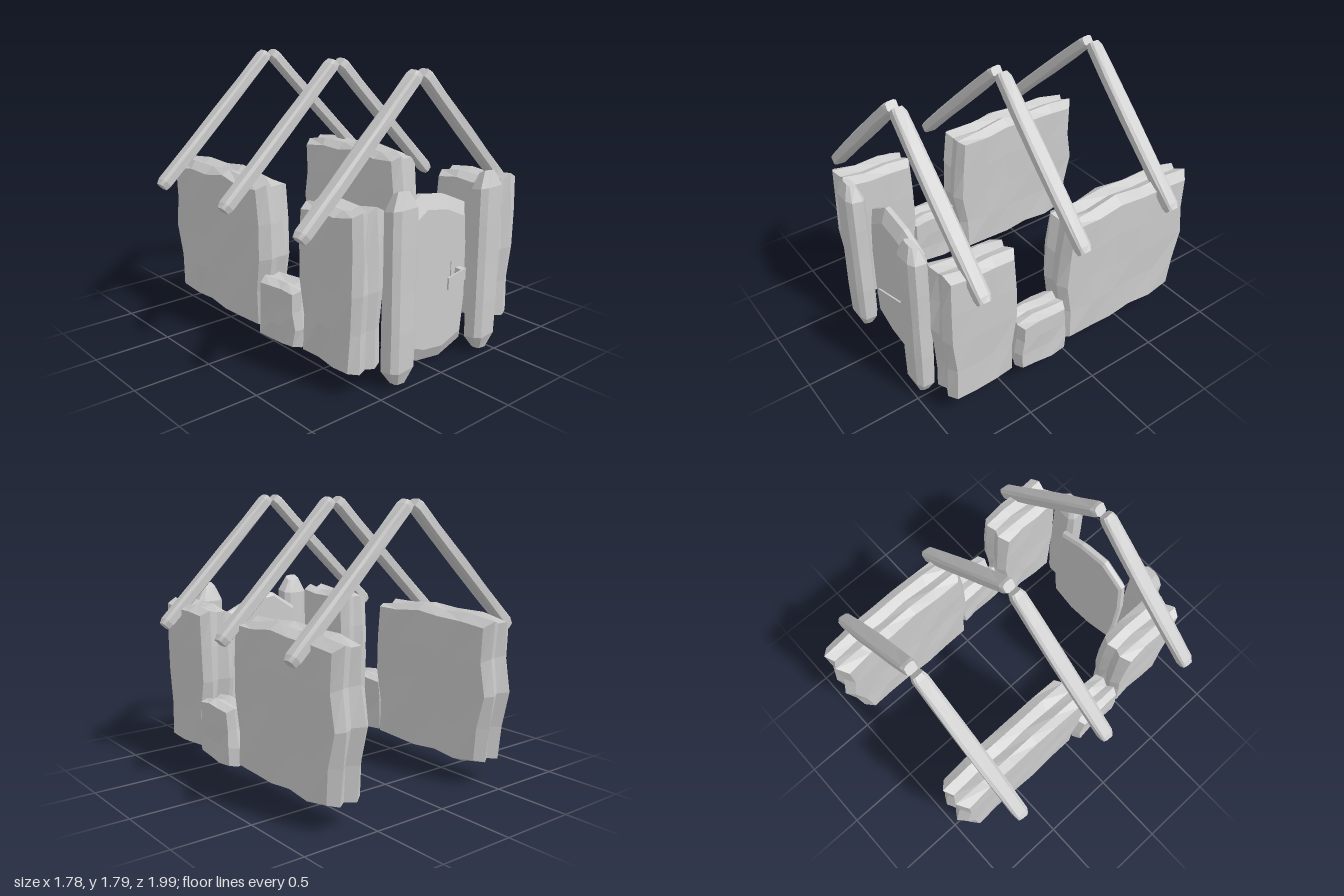
import * as THREE from 'three';

const material = new THREE.MeshStandardMaterial({ color: 0xcccccc, flatShading: true });

// Small repeatable noise in -1..1
const noise = (a, b, c) => {
  const s = Math.sin(a * 12.99 + b * 78.23 + c * 37.72) * 43758.5453;
  return (s - Math.floor(s)) * 2 - 1;
};

function add(parent, name, geometry) {
  const mesh = new THREE.Mesh(geometry, material);
  mesh.name = name;
  parent.add(mesh);
  return mesh;
}

// Skin closed rings (counter-clockwise seen from the far end), with fan caps
function loft(rings) {
  const n = rings[0].length, pos = [], index = [];
  rings.forEach(r => r.forEach(p => pos.push(...p)));
  for (let i = 0; i < rings.length - 1; i++)
    for (let j = 0; j < n; j++) {
      const a = i * n + j, b = i * n + (j + 1) % n;
      index.push(a, b, b + n, a, b + n, a + n);
    }
  [0, rings.length - 1].forEach((i, end) => {
    const centre = pos.length / 3;
    pos.push(...[0, 1, 2].map(k => rings[i].reduce((s, p) => s + p[k], 0) / n));
    for (let j = 0; j < n; j++) {
      const a = i * n + j, b = i * n + (j + 1) % n;
      index.push(centre, end ? a : b, end ? b : a);
    }
  });
  const g = new THREE.BufferGeometry();
  g.setAttribute('position', new THREE.Float32BufferAttribute(pos, 3));
  g.setIndex(index);
  g.computeVertexNormals();
  return g;
}

// Rough slab: side outline from four edges, with ridges running round the rim
function roughSlab({ width, front, back, bottom, top, inset }) {
  const ny = front.length - 1, nz = top.length - 1, ridge = [0, 0.95, 0.35, 0.85, 0];
  const g = new THREE.BoxGeometry(1, 1, 1, 4, ny, nz);
  const p = g.attributes.position;
  for (let i = 0; i < p.count; i++) {
    const u = Math.round((p.getX(i) + 0.5) * 4);
    const v = Math.round((p.getY(i) + 0.5) * ny);
    const t = Math.round((p.getZ(i) + 0.5) * nz);
    const pull = k => inset * (1 - THREE.MathUtils.clamp(ridge[u] + 0.3 * noise(u, v, t + k), 0, 1));
    const y = THREE.MathUtils.lerp(bottom[t] + pull(1) * 0.5, top[t] - pull(2), v / ny);
    const z = THREE.MathUtils.lerp(back[v] + pull(3), front[v] - pull(4), t / nz);
    const x = (u / 4 - 0.5) * width + 0.007 * noise(v, u, t);
    p.setXYZ(i, x, y, z);
  }
  g.computeVertexNormals();
  return g;
}

// Octagon with squared proportions, half sizes a and b
const octagon = (a, b, k = 0.6) =>
  [[1, -k], [1, k], [k, 1], [-k, 1], [-1, k], [-1, -k], [-k, -1], [k, -1]].map(([x, y]) => [x * a, y * b]);

function postGeometry() {
  const levels = [[0.025, 0.45], [0.11, 0.95], [0.35, 1], [0.6, 0.97], [0.85, 0.98], [1.07, 0.94], [1.165, 0.45]];
  return loft(levels.map(([y, s], i) => octagon(0.1 * s, 0.068 * s).map(([x, d], j) => [
    x + 0.004 * noise(i, j, 1),
    y + (i === 6 ? -0.5 * d - 0.12 * x : i === 5 ? -0.2 * d : 0.01 * noise(i, j, 2)),
    -d
  ])));
}

// Beam running along +z, slightly swollen in the middle
function beamGeometry(length) {
  const stations = [[0, 0.72], [0.03, 0.88], [0.3, 0.98], [0.55, 1], [0.8, 0.95], [0.97, 0.86], [1, 0.7]];
  return loft(stations.map(([t, s], i) => octagon(0.051 * s, 0.04 * (0.4 + 0.6 * s), 0.65).map(([x, y], j) =>
    [x + 0.003 * noise(i, j, 5), y + 0.003 * noise(i, j, 6), t * length])));
}

function createDoor() {
  const door = new THREE.Group();
  door.name = 'door';
  // Outline counter-clockwise from the lower left
  const outline = [[-0.23, 0.11], [-0.04, 0.03], [0.16, 0.005], [0.35, 0.07], [0.38, 0.35],
    [0.375, 0.7], [0.35, 0.97], [0.17, 1.05], [-0.04, 1.085], [-0.22, 0.97], [-0.25, 0.7], [-0.25, 0.35]];
  const cx = 0.065, cy = 0.54;
  const layer = (z, sx, sy) => outline.map(([x, y]) => [cx + (x - cx) * sx, cy + (y - cy) * sy, z]);
  add(door, 'doorPanel', loft([layer(0.785, 0.95, 0.96), layer(0.8, 1, 1), layer(0.83, 1, 1), layer(0.872, 0.82, 0.84)]));

  // Tapered plate, stem and slanted grip
  const plate = new THREE.Shape([[0.195, 0.46], [0.285, 0.48], [0.285, 0.61], [0.195, 0.63]]
    .map(([x, y]) => new THREE.Vector2(x, y)));
  add(door, 'handlePlate', new THREE.ExtrudeGeometry(plate, { depth: 0.012, bevelEnabled: false })).position.z = 0.866;
  add(door, 'handleStem', new THREE.BoxGeometry(0.04, 0.07, 0.06)).position.set(0.25, 0.55, 0.9);
  const grip = add(door, 'handleGrip', new THREE.BoxGeometry(0.216, 0.075, 0.01));
  grip.position.set(0.165, 0.55, 0.95);
  grip.rotation.y = Math.atan2(0.05, 0.21);
  return door;
}

export function createModel() {
  const model = new THREE.Group();
  model.name = 'hutFrame';

  // Side walls: long rear slab, low sill and short front slab on each side
  const slabs = {
    rearWall: [[-0.51, 0.645], roughSlab({
      width: 0.235, inset: 0.05,
      front: [0.04, 0.05, 0.09, 0.08, 0.06], back: [-0.92, -0.945, -0.995, -0.96, -0.965],
      bottom: [0.16, 0.13, 0.145, 0.13, 0.13, 0.14], top: [1.065, 1.09, 1.085, 1.115, 1.08, 1.08] })],
    lowSill: [[-0.555, 0.695], roughSlab({
      width: 0.205, inset: 0.03,
      front: [0.43, 0.445, 0.43, 0.42], back: [0.045, 0.04, 0.05, 0.06],
      bottom: [0.13, 0.12, 0.13, 0.15], top: [0.51, 0.52, 0.525, 0.51] })],
    frontWall: [[-0.51, 0.645], roughSlab({
      width: 0.235, inset: 0.04,
      front: [0.9, 0.905, 0.93, 0.92, 0.915], back: [0.43, 0.43, 0.395, 0.4, 0.42],
      bottom: [0.15, 0.14, 0.125, 0.14], top: [1.07, 1.09, 1.08, 1.11] })]
  };
  for (const [name, [places, geometry]] of Object.entries(slabs))
    places.forEach(x => { add(model, name, geometry).position.x = x; });

  // Door posts
  const post = postGeometry();
  [-0.3, 0.43].forEach(x => add(model, 'doorPost', post).position.set(x, 0, 0.928));
  model.add(createDoor());

  // Three pairs of rafters leaning together at the ridge
  const ends = { rightRafter: [[-0.868, 0.963], [-0.008, 1.772]], leftRafter: [[0.868, 0.943], [0.035, 1.772]] };
  for (const [name, [[x0, y0], [x1, y1]]] of Object.entries(ends)) {
    const beam = beamGeometry(Math.hypot(x1 - x0, y1 - y0));
    [-0.7, 0.02, 0.74].forEach(z => {
      const rafter = add(model, name, beam);
      rafter.position.set(x0, y0, z);
      rafter.lookAt(x1, y1, z);
    });
  }
  return model;
}
